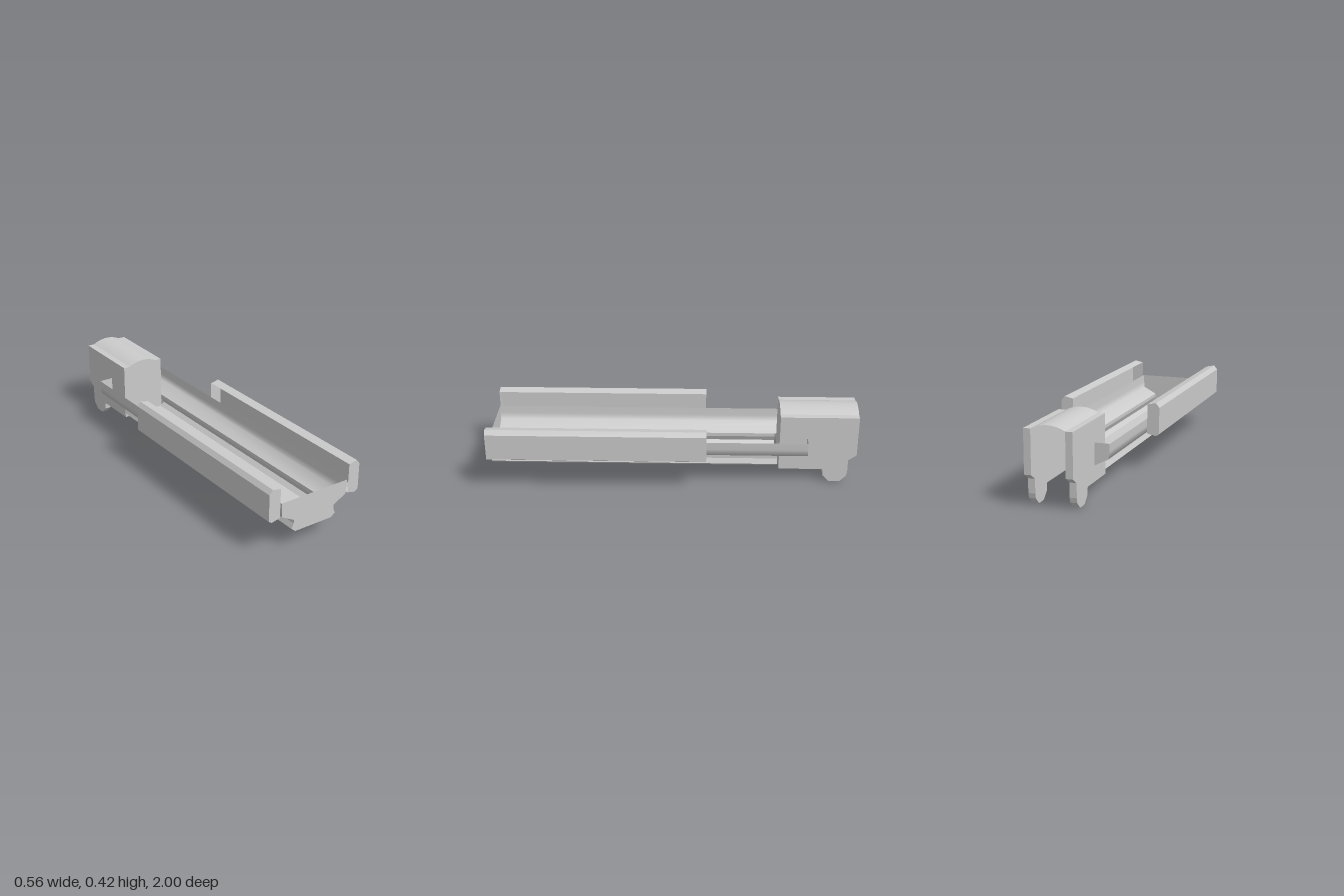
import * as THREE from 'three';

const grey = new THREE.MeshStandardMaterial({ color: 0xcccccc });
const sheetGrey = new THREE.MeshStandardMaterial({ color: 0xcccccc, side: THREE.DoubleSide });

const mirrored = (pts) => pts.map(([x, y]) => [-x, y]);

function add(parent, name, geometry, material = sheetGrey) {
  const mesh = new THREE.Mesh(geometry, material);
  mesh.name = name;
  parent.add(mesh);
  return mesh;
}

// Open sheet: an x/y profile swept along z, smooth or creased at each point
function sheet(pts, z0, z1, smooth = false) {
  const pos = [], idx = [];
  pts.forEach(([x, y]) => pos.push(x, y, z0, x, y, z1));
  for (let i = 0; i < pts.length - 1; i++) {
    const a = i * 2;
    idx.push(a, a + 1, a + 3, a, a + 3, a + 2);
  }
  let geo = new THREE.BufferGeometry();
  geo.setAttribute('position', new THREE.Float32BufferAttribute(pos, 3));
  geo.setIndex(idx);
  if (!smooth) geo = geo.toNonIndexed();
  geo.computeVertexNormals();
  return geo;
}

// Flat plate with an x/y outline standing at depth z
function plate(pts, z) {
  const shape = new THREE.Shape(pts.map(([x, y]) => new THREE.Vector2(x, y)));
  return new THREE.ShapeGeometry(shape).translate(0, 0, z);
}

export function createModel() {
  const model = new THREE.Group();
  model.name = 'trayAssembly';

  // Profiles for the +x half
  const wing = [[0.206, 0.277], [0.204, 0.235], [0.2, 0.199], [0.126, 0.16]];
  const keel = [[0.126, 0.16], [0.126, 0.14], [0.138, 0.112], [0.114, 0.092]];
  const rail = [[0.214, 0.36], [0.262, 0.37], [0.281, 0.346], [0.281, 0.202], [0.262, 0.19], [0.214, 0.201]];

  // Trough: flared wings above a narrow keel, open on top
  const tray = new THREE.Group();
  tray.name = 'tray';
  model.add(tray);
  add(tray, 'keel', sheet([...keel, ...mirrored(keel).reverse()], -0.567, 1));
  const half = [...wing, ...keel.slice(1)];
  add(tray, 'trayFrontPlate', plate([...half, ...mirrored(half).reverse()], 1));

  // Hollow block at the rear: front plate and arched roof, open at back and below
  const block = new THREE.Group();
  block.name = 'rearBlock';
  model.add(block);
  const roof = [];
  for (let i = 0; i <= 12; i++) {
    const t = i / 6 - 1;
    roof.push([-0.089 * t, 0.416 - 0.023 * t * t]);
  }
  add(block, 'blockRoof', sheet(roof, -1, -0.577, true));
  add(block, 'blockFrontPlate',
    plate([[0.126, 0.077], [0.126, 0.393], ...roof, [-0.126, 0.393], [-0.126, 0.077]], -0.577));

  // Block side walls with feet, drawn as (distance behind centre, height)
  const wall = new THREE.Shape();
  wall.moveTo(0.577, 0.077);
  wall.lineTo(0.81, 0.077);
  wall.quadraticCurveTo(0.82, 0.076, 0.82, 0.06);
  wall.lineTo(0.822, 0.036);
  wall.lineTo(0.857, 0.002);
  wall.quadraticCurveTo(0.89, -0.002, 0.917, 0.002);
  wall.lineTo(0.95, 0.034);
  wall.lineTo(0.956, 0.06);
  wall.lineTo(0.956, 0.135);
  wall.lineTo(1, 0.164);
  wall.lineTo(1, 0.393);
  wall.lineTo(0.577, 0.393);
  wall.closePath();

  for (const side of [1, -1]) {
    const label = side > 0 ? 'left' : 'right';
    const flip = (pts) => (side > 0 ? pts : mirrored(pts));

    // Wing with a closed rear end
    add(tray, label + 'Wing', sheet(flip(wing), -0.725, 1, true));
    add(tray, label + 'WingEnd', plate(flip([...wing, [0.126, 0.277]]), -0.725));

    // Side rail: channel open toward the tray, closed at both ends
    const railGroup = new THREE.Group();
    railGroup.name = label + 'SideRail';
    model.add(railGroup);
    add(railGroup, 'railChannel', sheet(flip(rail), -0.178, 1));
    add(railGroup, 'railFrontEnd', plate(flip(rail), 1));
    add(railGroup, 'railRearEnd', plate(flip(rail), -0.178));

    // Block wall and foot
    const geo = new THREE.ExtrudeGeometry(wall, { depth: 0.037, bevelEnabled: false, curveSegments: 4 });
    geo.rotateY(Math.PI / 2).translate(side > 0 ? 0.089 : -0.126, 0, 0);
    add(block, label + 'BlockWall', geo, grey);
  }
  return model;
}
